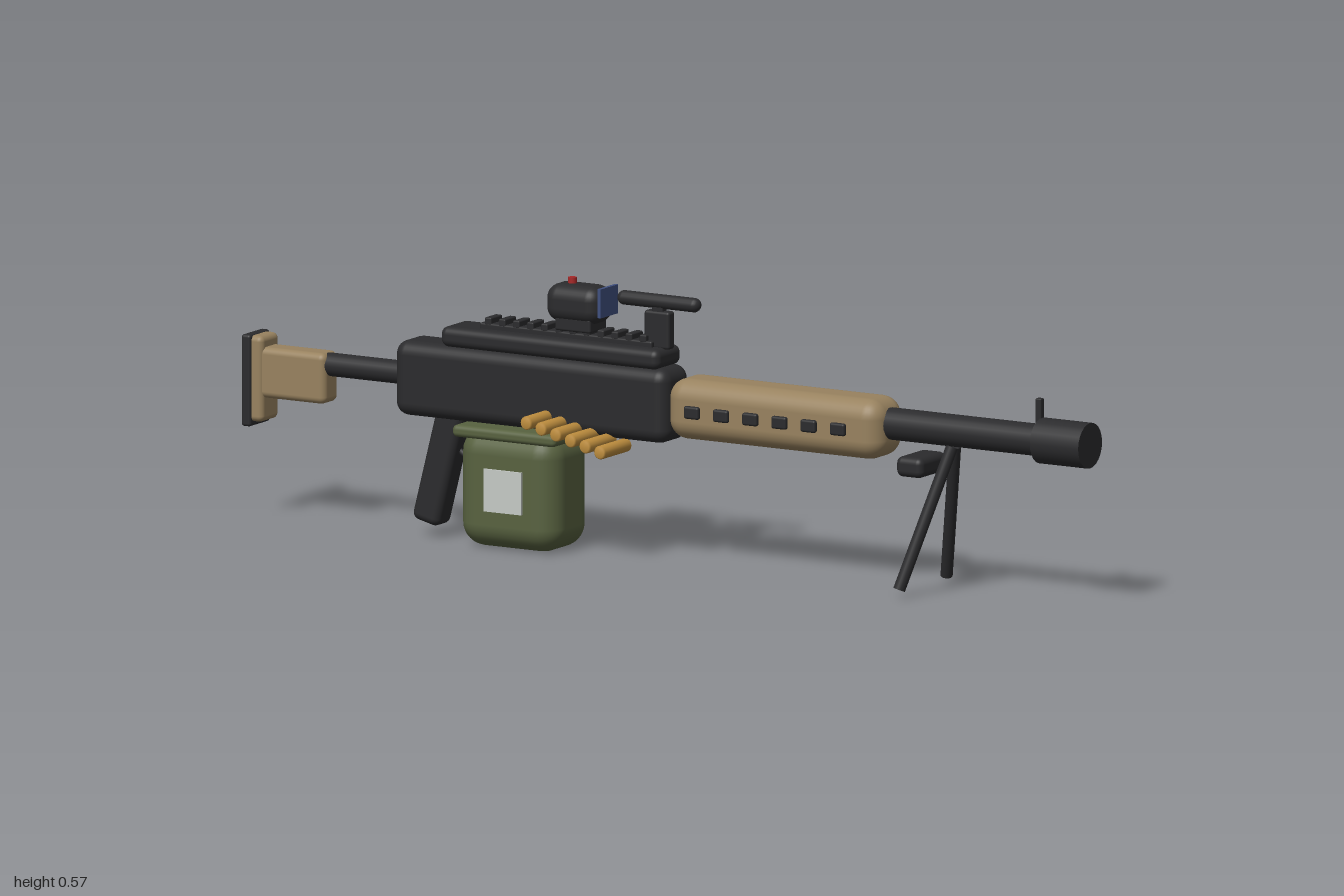
import * as THREE from 'three';
import { RoundedBoxGeometry } from 'three/addons/geometries/RoundedBoxGeometry.js';

const material = (name, color) => {
  const m = new THREE.MeshStandardMaterial({ color });
  m.name = name;
  return m;
};

export function createModel() {
  const black = material('gunmetal', 0x2b2b2d);
  const tan = material('tan', 0x98825f);
  const green = material('olive', 0x586240);
  const brass = material('brass', 0xc08f3f);
  const blue = material('lens blue', 0x40507f);
  const red = material('red', 0xa82828);
  const grey = material('label grey', 0xc6cac6);

  const model = new THREE.Group();
  // All parts sit around the bore plane, which is slightly behind z = 0
  const gun = new THREE.Group();
  gun.name = 'gun';
  gun.position.z = -0.0125;
  model.add(gun);

  const add = (name, geometry, mat, x = 0, y = 0, z = 0) => {
    const mesh = new THREE.Mesh(geometry, mat);
    mesh.name = name;
    mesh.position.set(x, y, z);
    gun.add(mesh);
    return mesh;
  };
  // Rounded box given by its x and y ranges, its depth and its z centre
  const block = (name, mat, x0, x1, y0, y1, depth, radius, z = 0) =>
    add(name, new RoundedBoxGeometry(x1 - x0, y1 - y0, depth, 4, radius), mat,
      (x0 + x1) / 2, (y0 + y1) / 2, z);
  // Round bar between two points
  const bar = (name, mat, a, b, radius) => {
    const from = new THREE.Vector3(...a), to = new THREE.Vector3(...b);
    const dir = to.clone().sub(from);
    const mesh = add(name, new THREE.CylinderGeometry(radius, radius, dir.length(), 24), mat);
    mesh.position.copy(from).add(to).multiplyScalar(0.5);
    mesh.quaternion.setFromUnitVectors(new THREE.Vector3(0, 1, 0), dir.normalize());
    return mesh;
  };

  // Stock
  block('buttPad', black, -0.997, -0.975, 0.19, 0.38, 0.08, 0.006);
  block('buttPlate', tan, -0.985, -0.95, 0.2, 0.378, 0.07, 0.012);
  block('stockBody', tan, -1, -0.805, 0.25, 0.355, 0.06, 0.014);
  bar('bufferTube', black, [-0.83, 0.33, 0], [-0.6, 0.33, 0], 0.024);

  // Receiver and top rail
  block('receiver', black, -0.63, 0.02, 0.25, 0.405, 0.105, 0.028);
  block('topCover', black, -0.52, 0, 0.402, 0.444, 0.098, 0.016);
  block('rail', black, -0.44, -0.03, 0.44, 0.456, 0.045, 0.004);
  for (let i = 0; i < 12; i++) {
    const x = -0.42 + i * 0.0335;
    block('railTooth', black, x - 0.008, x + 0.008, 0.452, 0.468, 0.045, 0.003);
  }

  // Reflex sight
  block('sightMount', black, -0.255, -0.17, 0.46, 0.49, 0.066, 0.005);
  block('sightBody', black, -0.28, -0.15, 0.476, 0.555, 0.082, 0.03);
  add('sightLens', new THREE.BoxGeometry(0.008, 0.06, 0.068), blue, -0.148, 0.525);
  add('sightButton', new THREE.CylinderGeometry(0.009, 0.009, 0.014, 16), red, -0.232, 0.56);

  // Carrying handle
  block('handlePost', black, -0.055, 0.005, 0.44, 0.518, 0.025, 0.006);
  block('handleStem', black, -0.038, -0.012, 0.505, 0.54, 0.02, 0.004);
  const handle = add('handleGrip', new THREE.CapsuleGeometry(0.015, 0.165, 6, 16), black, -0.025, 0.537);
  handle.rotation.z = Math.PI / 2;

  // Handguard with vents on both sides
  block('handguard', tan, 0.02, 0.53, 0.265, 0.39, 0.12, 0.04);
  for (const side of [-1, 1])
    for (let i = 0; i < 6; i++) {
      const x = 0.09 + i * 0.0695;
      block('vent', black, x - 0.018, x + 0.018, 0.314, 0.34, 0.014, 0.005, side * 0.061);
    }

  // Barrel, muzzle and front sight
  bar('barrel', black, [0.5, 0.338, 0], [0.9, 0.338, 0], 0.033);
  bar('muzzle', black, [0.885, 0.338, 0], [1, 0.338, 0], 0.047);
  block('frontSight', black, 0.873, 0.887, 0.36, 0.425, 0.014, 0.003);

  // Bipod
  block('bipodBlock', black, 0.567, 0.63, 0.24, 0.282, 0.106, 0.014);
  for (const side of [-1, 1])
    bar('bipodLeg', black, [0.675, 0.305, side * 0.006], [0.602, 0.016, side * 0.093], 0.0125);

  // Pistol grip and trigger guard
  const grip = block('pistolGrip', black, -0.572, -0.506, 0.025, 0.275, 0.06, 0.016);
  grip.rotation.z = -0.25;
  const guard = add('triggerGuard', new THREE.TorusGeometry(0.05, 0.006, 8, 24, Math.PI), black, -0.465, 0.218);
  guard.rotation.z = Math.PI;
  bar('trigger', black, [-0.468, 0.26, 0], [-0.478, 0.195, 0], 0.006);

  // Ammunition box with lid and label
  block('ammoBox', green, -0.465, -0.23, 0, 0.245, 0.162, 0.05);
  block('ammoLid', green, -0.47, -0.225, 0.226, 0.251, 0.172, 0.01, -0.003);
  add('label', new THREE.BoxGeometry(0.09, 0.088, 0.008), grey, -0.347, 0.124, 0.082);

  // Cartridge belt descending along the left side
  for (let i = 0; i < 6; i++) {
    const profile = [[0, 0], [0.014, 0], [0.014, 0.1], [0.011, 0.104], [0, 0.104]]
      .map(([r, h]) => new THREE.Vector2(r, h));
    const round = add('cartridge', new THREE.LatheGeometry(profile, 16), brass,
      -0.263 + i * 0.035, 0.282 - i * 0.0088, 0.029);
    round.rotation.x = Math.PI / 2;
  }

  return model;
}
